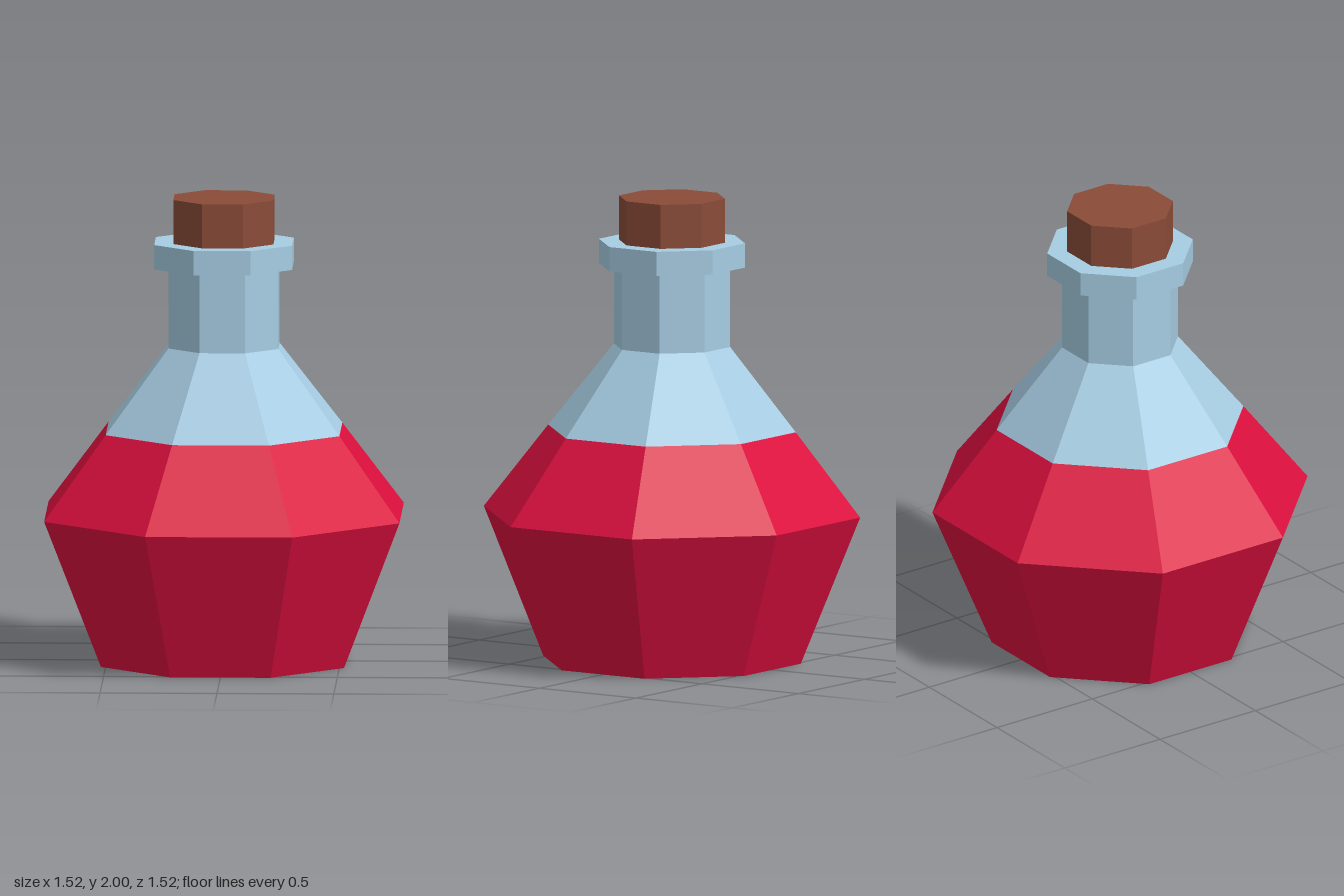
import * as THREE from 'three';

const SIDES = 8;

// Faceted solid of revolution; profile is [apothem, y] from bottom to top,
// with flat sides facing the x and z axes.
function facetedPart(name, color, profile) {
  const toCorner = 1 / Math.cos(Math.PI / SIDES);
  const points = profile.map(([r, y]) => new THREE.Vector2(r * toCorner, y));
  const geometry = new THREE.LatheGeometry(points, SIDES, Math.PI / SIDES).toNonIndexed();
  geometry.computeVertexNormals();
  const mesh = new THREE.Mesh(geometry, new THREE.MeshStandardMaterial({ color, flatShading: true }));
  mesh.name = name;
  return mesh;
}

export function createModel() {
  const flask = new THREE.Group();
  flask.name = 'potionFlask';

  const glass = 0xa6cce2;

  flask.add(
    // Filled lower body with closed base, up to the liquid level
    facetedPart('liquidBody', 0xdc0f3e, [[0, 0], [0.52, 0], [0.76, 0.64], [0.5, 1]]),
    // Clear shoulder and straight neck
    facetedPart('shoulder', glass, [[0.5, 1], [0.235, 1.36]]),
    facetedPart('neck', glass, [[0.235, 1.36], [0.235, 1.705]]),
    // Rim collar around the mouth
    facetedPart('rim', glass, [[0.235, 1.705], [0.295, 1.705], [0.295, 1.81], [0.214, 1.81]]),
    // Cork stopper
    facetedPart('cork', 0x8a4b37, [[0.214, 1.81], [0.214, 2], [0, 2]])
  );

  return flask;
}
